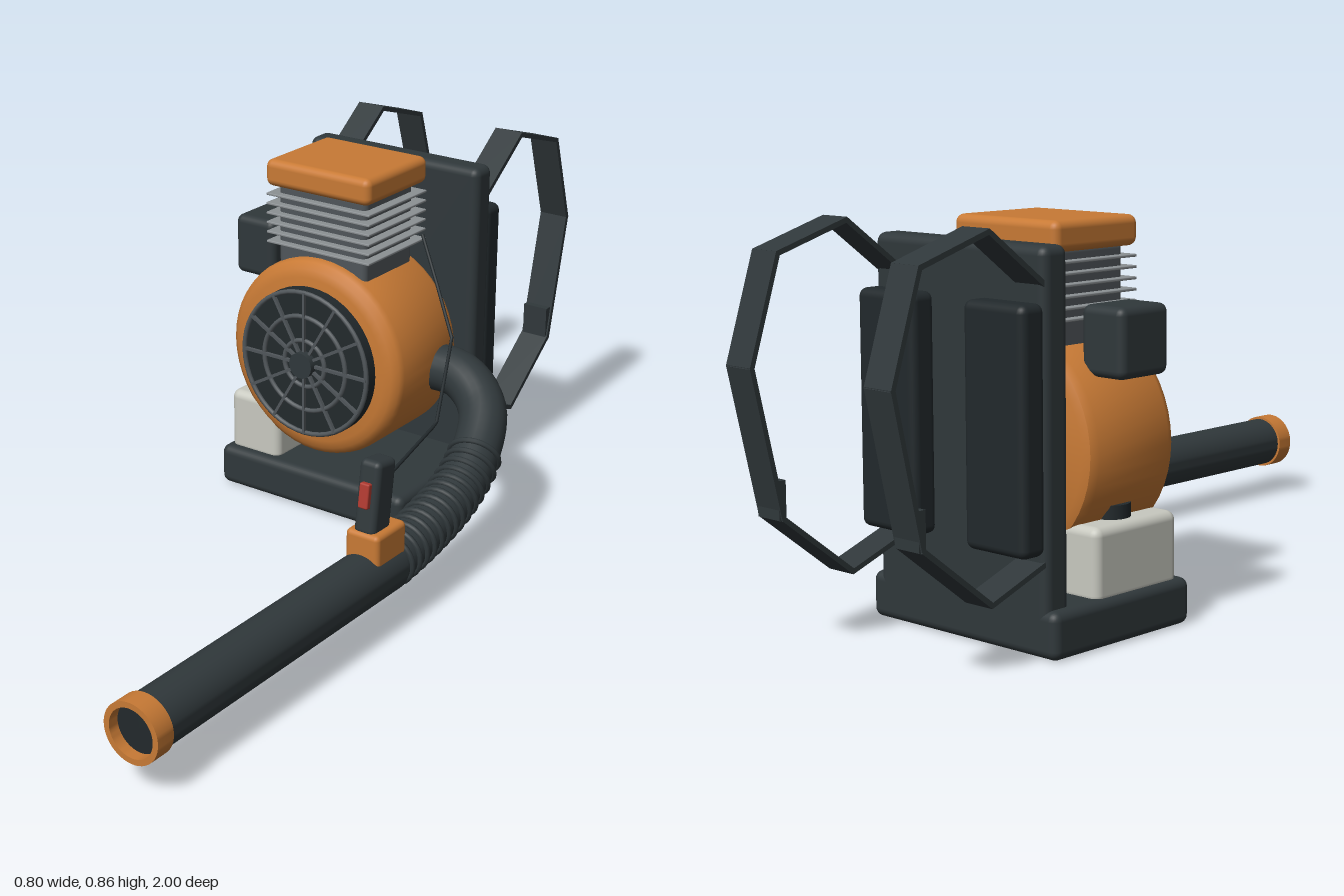
import * as THREE from 'three';
import { RoundedBoxGeometry } from 'three/addons/geometries/RoundedBoxGeometry.js';
import { toCreasedNormals } from 'three/addons/utils/BufferGeometryUtils.js';

const mat = (color) => new THREE.MeshStandardMaterial({ color });
const V = (x, y, z) => new THREE.Vector3(x, y, z);

export function createModel() {
  const root = new THREE.Group();
  const dark = mat(0x30383b), black = mat(0x22292c), orange = mat(0xc87a35);
  const grey = mat(0x50565a), fin = mat(0x8c9194), white = mat(0xc8c9c0), red = mat(0xb03a30);

  const add = (name, geo, material, parent = root) => {
    const m = new THREE.Mesh(geo, material);
    m.name = name;
    parent.add(m);
    return m;
  };
  // Rounded box given by its extents
  const block = (name, material, [x0, x1], [y0, y1], [z0, z1], r = 0.015) => {
    const m = add(name, new RoundedBoxGeometry(x1 - x0, y1 - y0, z1 - z0, 3, r), material);
    m.position.set((x0 + x1) / 2, (y0 + y1) / 2, (z0 + z1) / 2);
    return m;
  };
  // Lathe turned so that its axis runs along z; profile is [radius, z] from back to front
  const turned = (name, material, profile, x, y, parent = root) => {
    const pts = profile.map(([r, z]) => new THREE.Vector2(r, z));
    const geo = toCreasedNormals(new THREE.LatheGeometry(pts, 48).rotateX(Math.PI / 2), 0.6);
    const m = add(name, geo, material, parent);
    m.position.set(x, y, 0);
    return m;
  };

  // Carrying frame
  block('base', dark, [-0.4, 0.14], [0, 0.1], [-0.61, -0.2], 0.02);
  block('backPlate', dark, [-0.375, 0.115], [0.06, 0.82], [-0.61, -0.54], 0.02);
  block('rightBackPad', black, [-0.37, -0.2], [0.21, 0.71], [-0.665, -0.6], 0.018);
  block('leftBackPad', black, [-0.06, 0.11], [0.21, 0.71], [-0.665, -0.6], 0.018);

  // Shoulder straps: flat links along a [z, y] path
  const strapPath = [[-0.6, 0.745], [-0.75, 0.857], [-0.925, 0.803], [-0.995, 0.585],
    [-0.925, 0.277], [-0.75, 0.14], [-0.6, 0.195]];
  for (const [side, x] of [['right', -0.332], ['left', 0.072]]) {
    const strap = new THREE.Group();
    strap.name = side + 'Strap';
    root.add(strap);
    for (let i = 0; i < strapPath.length - 1; i++) {
      const [z0, y0] = strapPath[i], [z1, y1] = strapPath[i + 1];
      const link = add('strapLink', new THREE.BoxGeometry(0.074, 0.011, Math.hypot(z1 - z0, y1 - y0) + 0.006), dark, strap);
      link.position.set(x, (y0 + y1) / 2, (z0 + z1) / 2);
      link.rotation.x = -Math.atan2(y1 - y0, z1 - z0);
    }
    const buckle = add('strapBuckle', new THREE.BoxGeometry(0.066, 0.08, 0.018), dark, strap);
    buckle.position.set(x, 0.315, -0.926);
  }

  // Fan housing
  const fx = -0.13, fy = 0.388;
  turned('fanHousing', orange, [[0, -0.48], [0.218, -0.48], [0.236, -0.472], [0.245, -0.455],
    [0.245, -0.245], [0.24, -0.23], [0.225, -0.218], [0.205, -0.213], [0, -0.213]], fx, fy);

  // Intake grille
  const grille = new THREE.Group();
  grille.name = 'grille';
  grille.position.set(fx, fy, -0.19);
  root.add(grille);
  const disc = add('grilleDisc', new THREE.CylinderGeometry(0.184, 0.184, 0.03, 48).rotateX(Math.PI / 2), black, grille);
  disc.position.z = -0.012;
  for (const r of [0.058, 0.118, 0.178])
    add('grilleRing', new THREE.TorusGeometry(r, 0.006, 8, 48), grey, grille).position.z = 0.005;
  for (let i = 0; i < 12; i++) {
    const spoke = add('grilleSpoke', new THREE.BoxGeometry(0.15, 0.007, 0.008).translate(0.105, 0, 0.007), grey, grille);
    spoke.rotation.z = i * Math.PI / 6;
  }
  add('grilleHub', new THREE.CylinderGeometry(0.032, 0.032, 0.03, 24).rotateX(Math.PI / 2), dark, grille).position.z = 0.008;

  // Engine
  block('engineCylinder', grey, [-0.255, -0.005], [0.56, 0.8], [-0.45, -0.25], 0.015);
  for (let i = 0; i < 6; i++)
    block('coolingFin', fin, [-0.276, 0.018], [0.649 + i * 0.0235, 0.655 + i * 0.0235], [-0.472, -0.232], 0.002);
  block('engineCover', orange, [-0.278, 0.018], [0.79, 0.855], [-0.477, -0.227], 0.018);
  block('muffler', dark, [-0.4, -0.285], [0.538, 0.685], [-0.415, -0.27], 0.018);

  // Fuel tank
  block('fuelTank', white, [-0.385, -0.24], [0.085, 0.245], [-0.475, -0.225], 0.02);
  add('fuelCap', new THREE.CylinderGeometry(0.042, 0.042, 0.035, 24), black).position.set(-0.318, 0.257, -0.36);

  // Elbow and ribbed hose
  const hose = new THREE.CatmullRomCurve3([V(0.03, 0.36, -0.41), V(0.17, 0.358, -0.405), V(0.258, 0.31, -0.36),
    V(0.302, 0.24, -0.26), V(0.316, 0.187, -0.15), V(0.325, 0.155, 0), V(0.33, 0.137, 0.16)]);
  add('hose', new THREE.TubeGeometry(hose, 36, 0.057, 24), dark);
  const ribs = 14;
  for (let i = 0; i < ribs; i++) {
    const u = 0.47 + 0.49 * i / (ribs - 1);
    const rib = add('hoseRib', new THREE.TorusGeometry(0.058, 0.007, 8, 28), dark);
    rib.position.copy(hose.getPointAt(u));
    rib.quaternion.setFromUnitVectors(V(0, 0, 1), hose.getTangentAt(u));
  }

  // Blower pipe and nozzle
  const px = 0.33, py = 0.137;
  turned('blowerPipe', dark, [[0, 0.145], [0.061, 0.145], [0.061, 0.96], [0.054, 0.96]], px, py);
  turned('nozzleRing', orange, [[0.06, 0.953], [0.067, 0.953], [0.067, 1], [0.054, 1], [0.054, 0.95]], px, py);
  turned('nozzleInside', black, [[0.056, 0.975], [0, 0.975]], px, py);

  // Control handle
  block('handleClamp', orange, [0.288, 0.374], [0.17, 0.25], [0.13, 0.242], 0.012);
  const handle = new THREE.Group();
  handle.name = 'handle';
  handle.position.set(px, 0.32, 0.19);
  handle.rotation.x = -0.14;
  root.add(handle);
  add('grip', new RoundedBoxGeometry(0.054, 0.17, 0.07, 3, 0.014), dark, handle);
  add('trigger', new RoundedBoxGeometry(0.025, 0.057, 0.022, 2, 0.004), red, handle).position.set(0, 0.008, 0.036);

  // Throttle cable
  const cable = new THREE.CurvePath();
  const cp = [V(0.02, 0.665, -0.455), V(0.11, 0.575, -0.385), V(0.2, 0.49, -0.31), V(0.29, 0.37, -0.11), V(0.325, 0.33, 0.17)];
  for (let i = 0; i < cp.length - 1; i++) cable.add(new THREE.LineCurve3(cp[i], cp[i + 1]));
  add('throttleCable', new THREE.TubeGeometry(cable, 40, 0.004, 8), black);

  return root;
}
